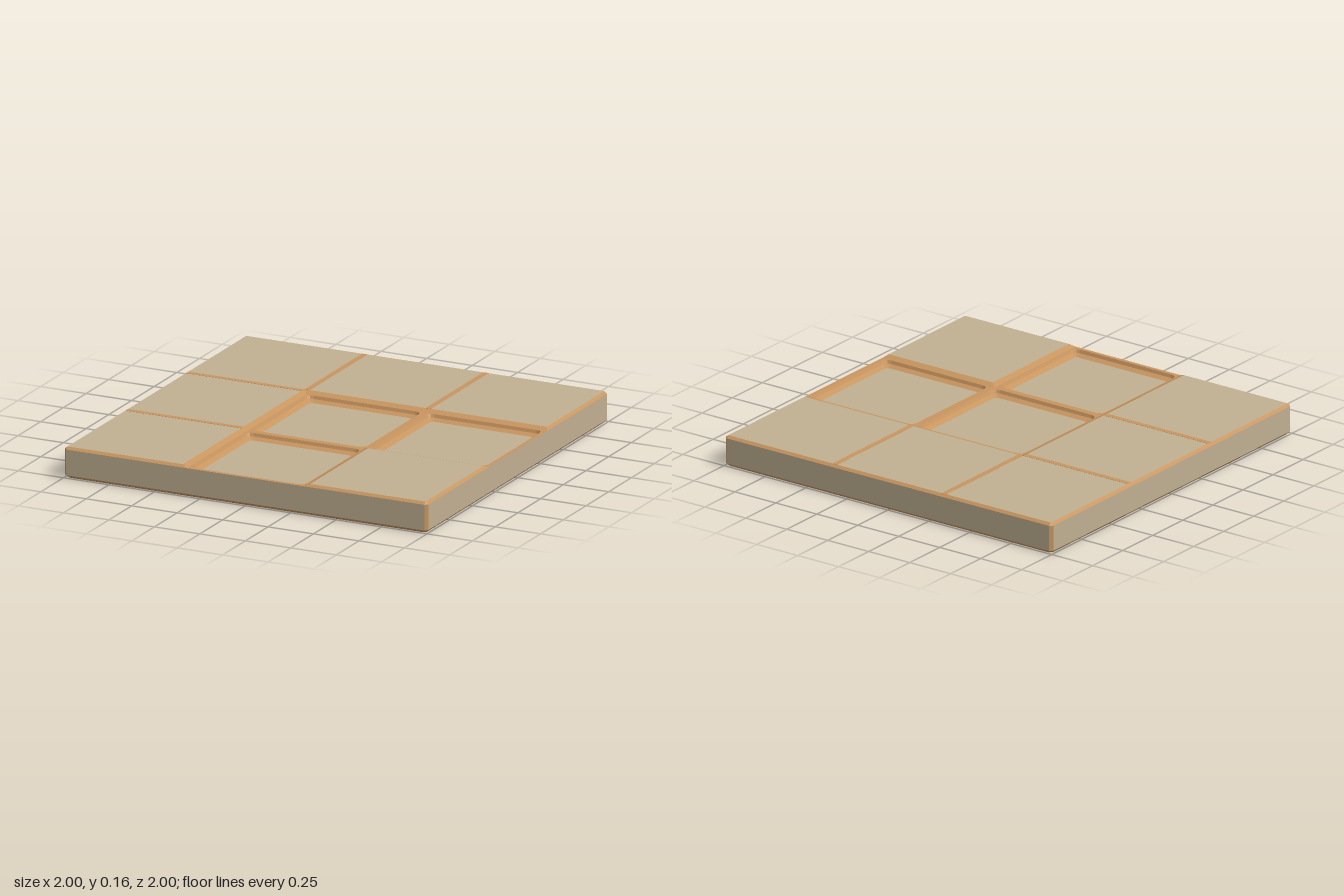
import * as THREE from 'three';

const stone = new THREE.MeshStandardMaterial({ color: 0xc0af91 });
stone.name = 'tan stone';
const edge = new THREE.MeshStandardMaterial({ color: 0xc8955f });
edge.name = 'worn orange edge';

const TOP = 0.16, LEDGE = 0.148, C = 0.985;

// Band of faces between two matching rings of [x, z] points, one group per edge
function band(ringA, yA, ringB, yB) {
  const pos = [], geo = new THREE.BufferGeometry();
  ringA.forEach((a0, i) => {
    const j = (i + 1) % ringA.length;
    const a1 = ringA[j], b0 = ringB[i], b1 = ringB[j];
    pos.push(a0[0], yA, a0[1], b0[0], yB, b0[1], a1[0], yA, a1[1]);
    pos.push(b0[0], yB, b0[1], b1[0], yB, b1[1], a1[0], yA, a1[1]);
    geo.addGroup(i * 6, 6, i % 2);
  });
  geo.setAttribute('position', new THREE.Float32BufferAttribute(pos, 3));
  geo.computeVertexNormals();
  return geo;
}

// Flat horizontal face, facing up or down, with optional holes
function flat(ring, y, holes = [], up = true) {
  const s = up ? -1 : 1;
  const pts = (r) => r.map(([x, z]) => new THREE.Vector2(x, s * z));
  const shape = new THREE.Shape(pts(ring));
  shape.holes = holes.map((h) => new THREE.Path(pts(h)));
  return new THREE.ShapeGeometry(shape).rotateX(s * Math.PI / 2).translate(0, y, 0);
}

// Rounded square ring, clockwise seen from above
function roundedSquare(cx, cz, half, r) {
  const ring = [];
  for (let k = 0; k < 4; k++) {
    const mid = Math.PI * (1.25 + k / 2);
    const ox = cx + Math.sign(Math.cos(mid)) * (half - r);
    const oz = cz + Math.sign(Math.sin(mid)) * (half - r);
    for (let n = 0; n <= 3; n++) {
      const t = Math.PI * (1 + k / 2 + n / 6);
      ring.push([ox + r * Math.cos(t), oz + r * Math.sin(t)]);
    }
  }
  return ring;
}

export function createModel() {
  const model = new THREE.Group();
  const add = (name, geo, mat) => {
    const mesh = new THREE.Mesh(geo, mat);
    mesh.name = name;
    model.add(mesh);
    return mesh;
  };

  // Slab sides with chamfered corners and a chamfered underside
  const outline = [[-1, -C], [-C, -1], [C, -1], [1, -C], [1, C], [C, 1], [-C, 1], [-1, C]];
  const foot = outline.map((p) => p.map((v) => v * C));
  add('slabSides', band(outline, 0.015, outline, LEDGE), [edge, stone]);
  add('bottomBevel', band(foot, 0, outline, 0.015), edge);
  add('underside', flat(foot, 0, [], false), stone);

  // Raised areas: an L along the back and right-hand tiles, and one corner tile
  const raised = {
    raisedL: [[-1, -C], [-C, -1], [C, -1], [1, -C], [1, -0.32], [-0.32, -0.32],
      [-0.32, 1], [-C, 1], [-1, C]],
    raisedCorner: [[0.32, 0.32], [1, 0.32], [1, C], [C, 1], [0.32, 1]],
  };
  const inset = (v) => Math.sign(v) * (Math.abs(v) > 0.9 ? C : 0.35);
  for (const [name, base] of Object.entries(raised)) {
    const top = base.map((p) => p.map(inset));
    add(name + 'Bevel', band(base, LEDGE, top, TOP), edge);
    add(name + 'Top', flat(top, TOP), stone);
  }

  // Three sunken tiles with rounded rims
  const centres = [[0, 0], [0.665, 0], [0, 0.665]];
  const rims = centres.map(([x, z]) => roundedSquare(x, z, 0.315, 0.035));
  const ledge = [[-0.32, -0.32], [1, -0.32], [1, 0.32], [0.32, 0.32], [0.32, 1], [-0.32, 1]];
  add('tileLedge', flat(ledge, LEDGE, rims), edge);
  centres.forEach(([x, z], i) => {
    const wall = roundedSquare(x, z, 0.308, 0.03);
    const floor = roundedSquare(x, z, 0.282, 0.02);
    add('tileWall', band(rims[i], LEDGE, wall, 0.132), edge);
    add('tileBevel', band(wall, 0.132, floor, 0.12), edge);
    add('tileFloor', flat(floor, 0.12), stone);
  });

  // Thin seams between the raised tiles
  for (const s of [-0.333, 0.333]) {
    const back = add('backSeam', new THREE.BoxGeometry(0.028, 0.002, 0.635), edge);
    back.position.set(s, TOP, -0.667);
    const side = add('sideSeam', new THREE.BoxGeometry(0.635, 0.002, 0.028), edge);
    side.position.set(-0.667, TOP, s);
  }
  return model;
}
